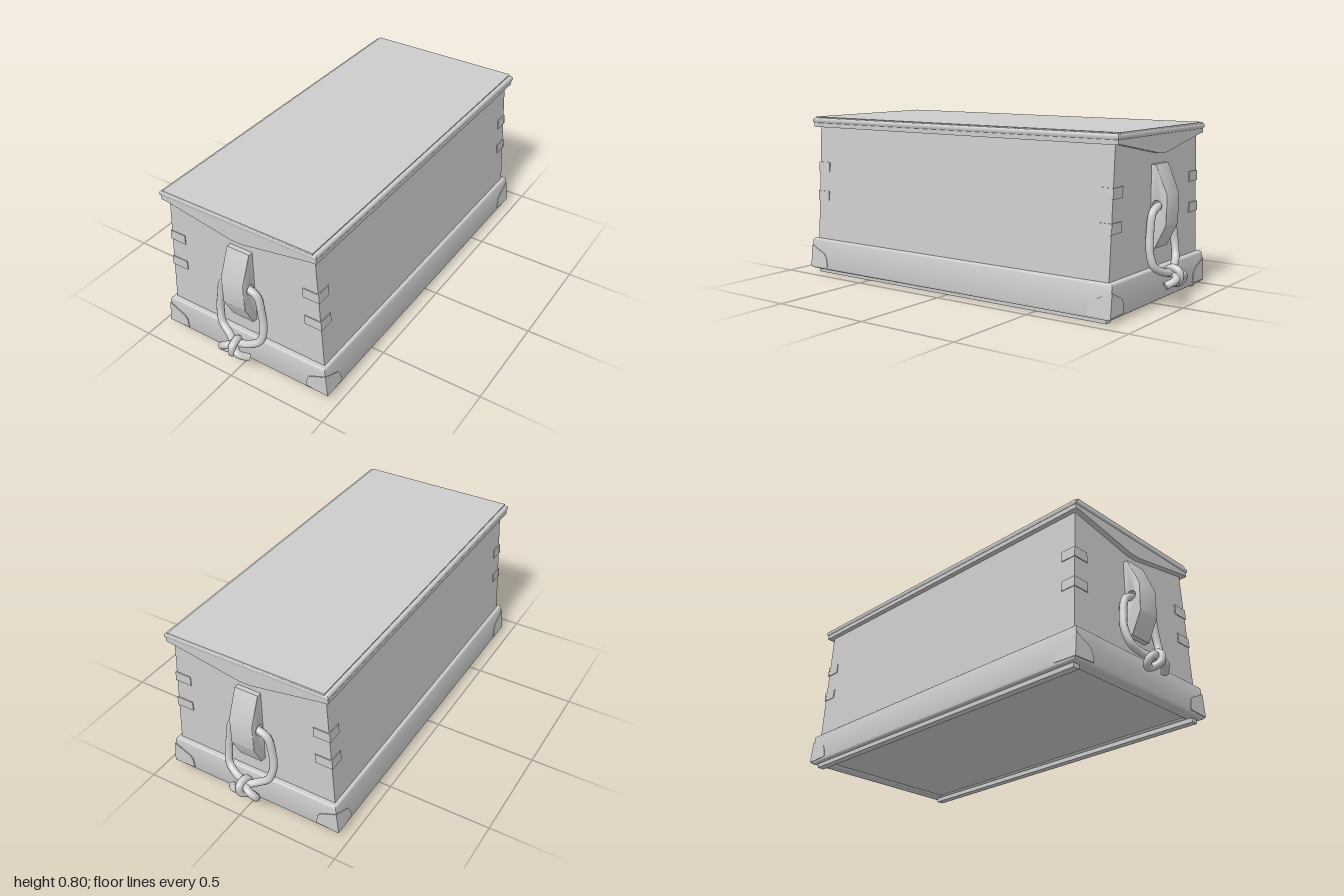
import * as THREE from 'three';
import { toCreasedNormals } from 'three/addons/utils/BufferGeometryUtils.js';

const paint = new THREE.MeshStandardMaterial({ color: 0xcccccc });
paint.name = 'plain grey';

const shapeOf = (pts) => new THREE.Shape(pts.map(([x, y]) => new THREE.Vector2(x, y)));

// Moves every vertex by a rule
function warp(geo, rule) {
  const p = geo.attributes.position;
  const v = new THREE.Vector3();
  for (let i = 0; i < p.count; i++) {
    rule(v.fromBufferAttribute(p, i));
    p.setXYZ(i, v.x, v.y, v.z);
  }
  geo.computeVertexNormals();
  return geo;
}

function extrude(shape, depth, bevel = 0) {
  return new THREE.ExtrudeGeometry(shape, {
    depth: depth - 2 * bevel, curveSegments: 16, bevelEnabled: bevel > 0,
    bevelSize: bevel, bevelThickness: bevel, bevelOffset: -bevel, bevelSegments: 3,
  }).translate(0, 0, bevel);
}

// Half widths of the leaning long sides
const bodyHalf = (y) => 0.42 - (y - 0.175) * 0.061;
const baseHalf = (y) => 0.452 - (y - 0.02) * 0.1;

export function createModel() {
  const model = new THREE.Group();
  model.name = 'chest';
  const add = (name, geo, parent = model) => {
    const mesh = new THREE.Mesh(geo, paint);
    mesh.name = name;
    parent.add(mesh);
    return mesh;
  };

  // Body with leaning long sides; its underside is the sunken floor
  const body = new THREE.BoxGeometry(2, 0.74, 1.72).translate(0, 0.4, 0);
  add('body', warp(body, (v) => { v.x *= bodyHalf(v.y); }));

  // Plinth frame around the foot of the body
  const ring = shapeOf([[-0.452, -0.885], [0.452, -0.885], [0.452, 0.885], [-0.452, 0.885]]);
  ring.holes.push(new THREE.Path([[-0.385, -0.82], [-0.385, 0.82], [0.385, 0.82], [0.385, -0.82]]
    .map(([x, y]) => new THREE.Vector2(x, y))));
  const plinth = extrude(ring, 0.155, 0.01).rotateX(-Math.PI / 2).translate(0, 0.02, 0);
  warp(plinth, (v) => { v.x *= baseHalf(v.y) / 0.452; });
  add('plinth', toCreasedNormals(plinth, 0.6));

  // Lid slab with softened edges
  const slab = shapeOf([[-0.413, -0.89], [0.413, -0.89], [0.413, 0.89], [-0.413, 0.89]]);
  const lid = extrude(slab, 0.027, 0.01).rotateX(-Math.PI / 2).translate(0, 0.768, 0);
  add('lid', toCreasedNormals(lid, 0.6));
  add('lidTop', new THREE.BoxGeometry(0.79, 0.012, 1.776).translate(0, 0.794, 0));

  // Plate lying on a leaning long side, drawn in (z, y)
  const sidePlate = (pts, sx, half, lift) => {
    const geo = extrude(shapeOf(pts), 0.009).rotateY(sx * Math.PI / 2);
    return warp(geo, (v) => { v.x += sx * (half(v.y) + lift - 0.009); });
  };

  for (const sx of [-1, 1]) {
    // Lid rail and runner along each long side
    add('lidRail', new THREE.BoxGeometry(0.034, 0.024, 1.77).translate(sx * 0.392, 0.761, 0));
    add('runner', new THREE.BoxGeometry(0.036, 0.03, 1.71).translate(sx * 0.41, 0.015, 0));

    for (const sz of [-1, 1]) {
      // Plinth corner guards
      const guard = (edge, dir) => [[0, 0.03], [0.115, 0.035], [0.105, 0.08], [0.09, 0.1], [0, 0.14]]
        .map(([d, y]) => [dir * (edge(y) - d), y]);
      const end = extrude(shapeOf(guard((y) => baseHalf(y) + 0.003, sx)), 0.009);
      add('cornerGuardEnd', end.translate(0, 0, sz > 0 ? 0.88 : -0.889));
      add('cornerGuardSide', sidePlate(guard(() => 0.888, sz), sx, baseHalf, 0.003));

      // Dovetail joints at the upright corners
      for (const [y0, y1, inner] of [[0.375, 0.422, 0.325], [0.522, 0.57, 0.32]]) {
        const xa = (y) => sx * (bodyHalf(y) + 0.005);
        const face = shapeOf([[sx * inner, y0], [xa(y0), y0], [xa(y1), y1], [sx * inner, y1]]);
        add('dovetailEnd', extrude(face, 0.008).translate(0, 0, sz > 0 ? 0.856 : -0.864));
        const side = [[0.79, y0], [0.862, y0], [0.862, y1], [0.79, y1]].map(([z, y]) => [sz * z, y]);
        add('dovetailSide', sidePlate(side, sx, bodyHalf, 0.004));
      }
    }
  }

  // Pointed apron under each end of the lid
  const apron = [[-0.408, 0.772], [-0.408, 0.75], [-0.38, 0.748], [-0.03, 0.686],
    [0.03, 0.686], [0.38, 0.748], [0.408, 0.75], [0.408, 0.772]];
  // Cleat outline in (z, y), with a hole for the rope
  const cleatShape = shapeOf([[0.855, 0.265], [0.885, 0.265], [0.936, 0.37],
    [0.938, 0.505], [0.882, 0.64], [0.855, 0.64]]);
  cleatShape.holes.push(new THREE.Path().absarc(0.889, 0.457, 0.023, 0, Math.PI * 2, true));
  // Rope from its tail, up through the cleat, and back into the knot
  const rope = [
    [0.07, 0.105, 0.945], [0.03, 0.13, 0.975], [-0.01, 0.152, 0.95], [-0.055, 0.168, 0.922],
    [-0.105, 0.2, 0.906], [-0.124, 0.27, 0.89], [-0.118, 0.34, 0.884], [-0.098, 0.425, 0.885],
    [-0.065, 0.447, 0.887], [0, 0.453, 0.887], [0.065, 0.447, 0.887], [0.092, 0.425, 0.885],
    [0.108, 0.34, 0.884], [0.118, 0.26, 0.89], [0.108, 0.195, 0.906], [0.06, 0.165, 0.925],
    [0.01, 0.155, 0.938], [-0.035, 0.148, 0.972], [-0.066, 0.125, 0.968], [-0.062, 0.1, 0.95],
    [-0.03, 0.1, 0.942], [0, 0.125, 0.978], [0.004, 0.165, 0.978], [0, 0.175, 0.935],
    [-0.01, 0.14, 0.915],
  ];

  for (const s of [1, -1]) {
    const handle = new THREE.Group();
    handle.name = s > 0 ? 'frontHandle' : 'backHandle';
    model.add(handle);
    const turn = s > 0 ? 0 : Math.PI;

    add('lidApron', extrude(shapeOf(apron), 0.033).translate(0, 0, 0.853).rotateY(turn));
    const cleat = extrude(cleatShape, 0.12, 0.003).translate(0, 0, -0.06).rotateY(-Math.PI / 2);
    add('cleat', toCreasedNormals(cleat.rotateY(turn), 0.5), handle);

    const path = new THREE.CatmullRomCurve3(
      rope.map(([x, y, z]) => new THREE.Vector3(x, y, s * z)), false, 'centripetal');
    add('rope', new THREE.TubeGeometry(path, 160, 0.018, 12), handle);
    // Flat cut ends of the rope
    for (const t of [0, 1]) {
      const cap = add('ropeEnd', new THREE.CircleGeometry(0.018, 12), handle);
      cap.position.copy(path.getPointAt(t));
      cap.quaternion.setFromUnitVectors(new THREE.Vector3(0, 0, 1),
        path.getTangentAt(t).multiplyScalar(t ? 1 : -1));
    }
  }
  return model;
}
